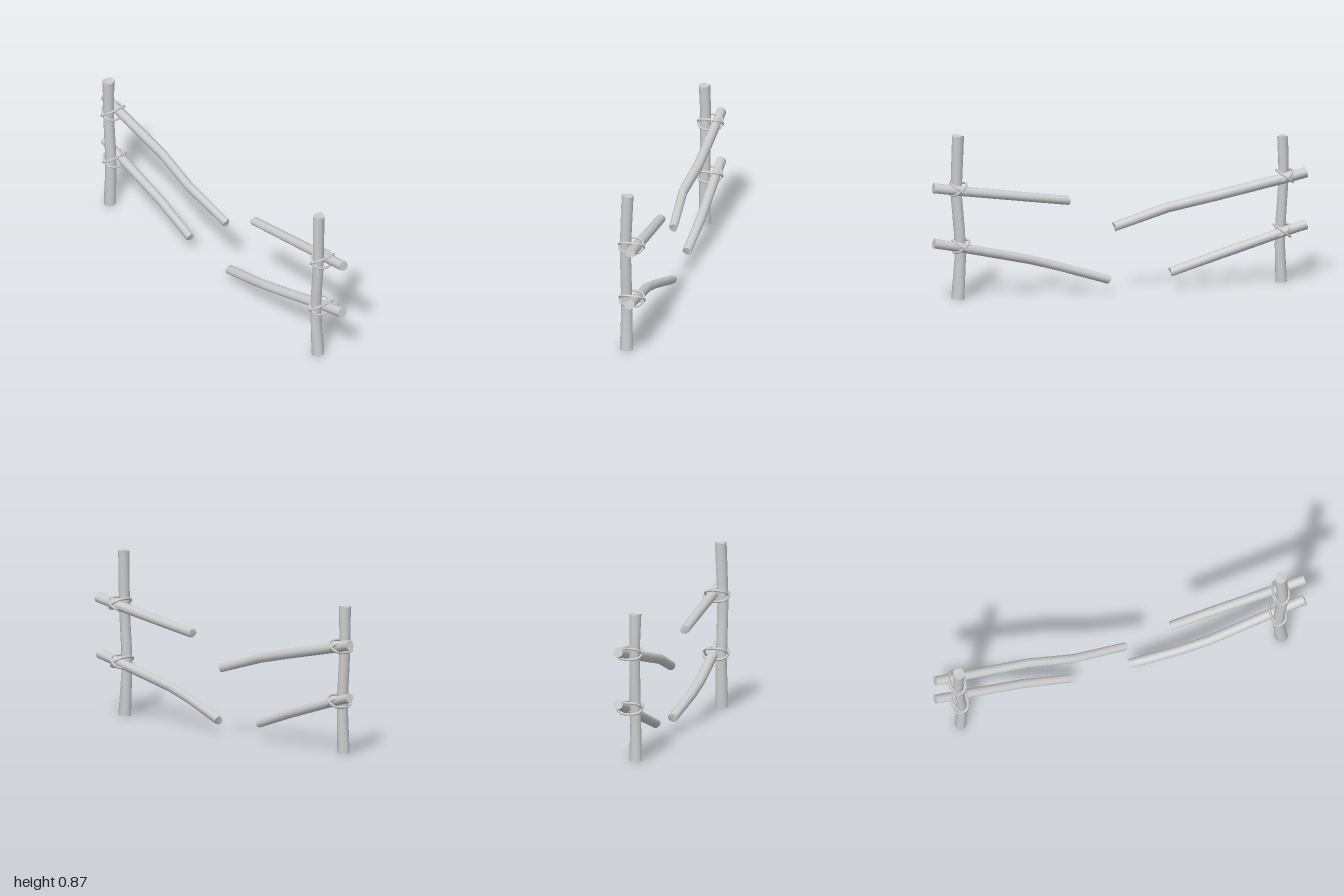
import * as THREE from 'three';

const SIDES = 10;

// Rough round timber through points [x, y, z, radius], with slightly uneven sawn ends
function log(name, pts, seed) {
  const centres = pts.map(p => new THREE.Vector3(p[0], p[1], p[2]));
  const last = pts.length - 1;
  const pos = [], index = [];
  const rings = centres.map((c, i) => {
    const t = centres[Math.min(i + 1, last)].clone().sub(centres[Math.max(i - 1, 0)]).normalize();
    const u = new THREE.Vector3(1, 0, 0).addScaledVector(t, -t.x).normalize();
    const v = t.clone().cross(u);
    return Array.from({ length: SIDES }, (_, j) => {
      const a = j / SIDES * Math.PI * 2;
      const r = pts[i][3] * (1 + 0.05 * Math.sin(2 * a + seed));
      const p = c.clone().addScaledVector(u, r * Math.cos(a)).addScaledVector(v, r * Math.sin(a));
      if (i === last) p.addScaledVector(t, 0.004 * Math.sin(2 * a + seed));
      return p;
    });
  });
  rings.forEach(ring => ring.forEach(p => pos.push(p.x, p.y, p.z)));
  for (let i = 0; i < last; i++) {
    for (let j = 0; j < SIDES; j++) {
      const k = (j + 1) % SIDES, a = i * SIDES, b = a + SIDES;
      index.push(a + j, a + k, b + j, a + k, b + k, b + j);
    }
  }
  // End caps have their own vertices so the rim stays sharp
  for (const end of [0, last]) {
    const base = pos.length / 3;
    const c = centres[end];
    pos.push(c.x, c.y, c.z);
    rings[end].forEach(p => pos.push(p.x, p.y, p.z));
    for (let j = 0; j < SIDES; j++) {
      const a = base + 1 + j, b = base + 1 + (j + 1) % SIDES;
      index.push(base, end ? a : b, end ? b : a);
    }
  }
  const geo = new THREE.BufferGeometry();
  geo.setAttribute('position', new THREE.Float32BufferAttribute(pos, 3));
  geo.setIndex(index);
  geo.computeVertexNormals();
  const mesh = new THREE.Mesh(geo, material);
  mesh.name = name;
  return mesh;
}

// Two rope loops, tilted opposite ways, that cross over the rail and behind the post
function lashing(name, y, z) {
  const group = new THREE.Group();
  group.name = name;
  const bulge = (s, e) => Math.sign(s) * Math.abs(s) ** e;
  for (const tilt of [-1, 1]) {
    const pts = [];
    for (let i = 0; i < 16; i++) {
      const a = (i + 0.5) / 16 * Math.PI * 2;
      const dz = 0.039 * bulge(Math.sin(a), 0.8);
      pts.push(new THREE.Vector3((0.063 + tilt * 0.002) * bulge(Math.cos(a), 0.8), tilt * dz * 0.75, dz));
    }
    const curve = new THREE.CatmullRomCurve3(pts, true);
    const rope = new THREE.Mesh(new THREE.TubeGeometry(curve, 40, 0.0065, 6, true), material);
    rope.name = 'ropeLoop';
    group.add(rope);
  }
  group.position.set(-0.002, y, z);
  return group;
}

const material = new THREE.MeshStandardMaterial({ color: 0xcccccc });

export function createModel() {
  const model = new THREE.Group();
  model.name = 'brokenFence';
  model.add(
    // Upright posts
    log('frontPost', [[-0.03, 0, 0.852, 0.034], [-0.031, 0.22, 0.838, 0.029], [-0.033, 0.35, 0.842, 0.029],
      [-0.034, 0.56, 0.86, 0.029], [-0.024, 0.862, 0.852, 0.031]], 0.5),
    log('backPost', [[-0.03, 0, -0.873, 0.031], [-0.03, 0.2, -0.866, 0.028], [-0.028, 0.32, -0.87, 0.028],
      [-0.029, 0.55, -0.886, 0.027], [-0.03, 0.65, -0.884, 0.028], [-0.033, 0.768, -0.882, 0.03]], 2),
    // Snapped rails
    log('frontUpperRail', [[0.025, 0.603, 0.996, 0.027], [0.023, 0.578, 0.84, 0.026],
      [0.018, 0.535, 0.54, 0.025], [0.012, 0.497, 0.27, 0.024]], 1),
    log('frontLowerRail', [[0.02, 0.31, 0.992, 0.027], [0.012, 0.277, 0.84, 0.026],
      [-0.013, 0.19, 0.47, 0.025], [-0.008, 0.145, 0.31, 0.024], [0.021, 0.068, 0.055, 0.024]], 2.5),
    log('backUpperRail', [[0.03, 0.583, -0.993, 0.026], [0.029, 0.558, -0.88, 0.026],
      [0.026, 0.482, -0.5, 0.026], [0.002, 0.43, -0.26, 0.025], [0.02, 0.347, 0.03, 0.023]], 4),
    log('backLowerRail', [[0.03, 0.308, -0.992, 0.025], [0.03, 0.275, -0.87, 0.025],
      [0.033, 0.172, -0.52, 0.025], [0.02, 0.092, -0.27, 0.023]], 3),
    // Rope at every joint
    lashing('frontUpperLashing', 0.584, 0.856),
    lashing('frontLowerLashing', 0.282, 0.841),
    lashing('backUpperLashing', 0.563, -0.884),
    lashing('backLowerLashing', 0.275, -0.87),
  );
  return model;
}
